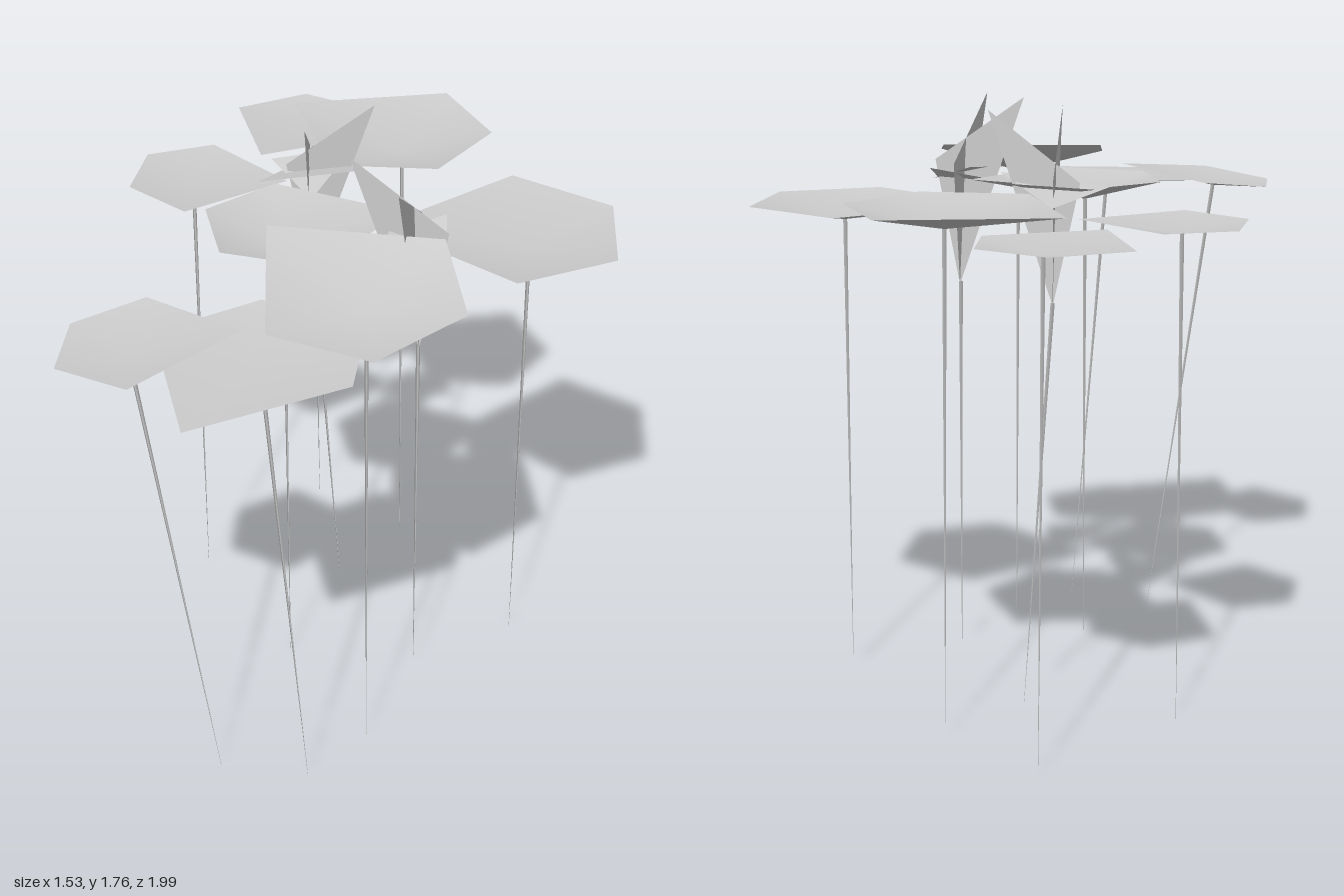
import * as THREE from 'three';

const grey = new THREE.MeshStandardMaterial({ color: 0xcccccc, side: THREE.DoubleSide });
grey.name = 'pale grey';

function surface(name, points, index) {
  const g = new THREE.BufferGeometry();
  g.setAttribute('position', new THREE.Float32BufferAttribute(points.flat(), 3));
  g.setIndex(index);
  g.computeVertexNormals();
  const mesh = new THREE.Mesh(g, grey);
  mesh.name = name;
  return mesh;
}

// Three-sided stalk narrowing to almost nothing at its foot
function stem(top, foot) {
  const a = new THREE.Vector3(...top), b = new THREE.Vector3(...foot);
  const dir = a.clone().sub(b);
  const mesh = new THREE.Mesh(new THREE.CylinderGeometry(0.007, 0.0004, dir.length(), 3, 1, true), grey);
  mesh.position.copy(a).add(b).multiplyScalar(0.5);
  mesh.quaternion.setFromUnitVectors(new THREE.Vector3(0, 1, 0), dir.normalize());
  mesh.name = 'stem';
  return mesh;
}

// Five-cornered shallow bowl on a stem; rim height follows a tilted plane
function lilyPad({ rim, hub, foot, y, tiltX = 0, tiltZ = 0 }) {
  const pad = new THREE.Group();
  pad.name = 'lilyPad';
  const points = rim.map(([x, z]) => [x, y + tiltX * (x - hub[0]) + tiltZ * (z - hub[2]), z]);
  points.push(hub);
  const index = [];
  for (let i = 0; i < 5; i++) index.push(5, (i + 1) % 5, i);
  pad.add(surface('leaf', points, index), stem(hub, foot));
  return pad;
}

// Crossed triangular petals on a stem
function flower({ petals, base, foot }) {
  const f = new THREE.Group();
  f.name = 'flower';
  for (const p of petals) f.add(surface('petal', p, [0, 1, 2]));
  f.add(stem(base, foot));
  return f;
}

const pads = [
  { rim: [[-0.155, -1], [0.04, -0.885], [0.04, -0.665], [-0.285, -0.535], [-0.37, -0.89]],
    hub: [-0.13, 1.43, -0.8], foot: [-0.12, 0, -0.8], y: 1.46 },
  { rim: [[-0.19, -0.78], [0.3, -0.855], [0.425, -0.555], [0.25, -0.3], [-0.06, -0.325]],
    hub: [0.15, 1.46, -0.56], foot: [0.16, 0, -0.56], y: 1.525 },
  { rim: [[-0.435, -0.61], [-0.2, -0.355], [-0.495, -0.153], [-0.67, -0.315], [-0.635, -0.54]],
    hub: [-0.485, 1.43, -0.39], foot: [-0.495, 0, -0.38], y: 1.46 },
  { rim: [[-0.23, -0.205], [0.135, -0.025], [-0.09, 0.305], [-0.37, 0.22], [-0.425, -0.04]],
    hub: [-0.2, 1.46, 0.06], foot: [-0.205, 0, 0.07], y: 1.525 },
  { rim: [[0.48, -0.39], [0.76, -0.185], [0.735, 0.15], [0.445, 0.28], [0.07, -0.06]],
    hub: [0.505, 1.405, -0.03], foot: [0.507, 0, -0.04], y: 1.46 },
  { rim: [[-0.25, 0.39], [0.03, 0.55], [-0.007, 0.815], [-0.425, 0.99], [-0.53, 0.535]],
    hub: [-0.245, 1.435, 0.665], foot: [-0.14, 0, 0.655], y: 1.463, tiltX: 0.035, tiltZ: -0.04 },
  { rim: [[-0.24, 0.21], [0.245, 0.275], [0.29, 0.6], [0.045, 0.785], [-0.23, 0.675]],
    hub: [0.03, 1.49, 0.48], foot: [0.035, 0, 0.48], y: 1.563, tiltZ: -0.15 },
  { rim: [[-0.56, 0.37], [-0.295, 0.6], [-0.57, 0.835], [-0.77, 0.695], [-0.755, 0.47]],
    hub: [-0.59, 1.435, 0.605], foot: [-0.4, 0, 0.61], y: 1.467, tiltX: 0.12 },
];

const flowers = [
  { base: [0.182, 1.19, 0.155], foot: [0.187, 0, 0.16], petals: [
    [[0.115, 1.75, 0.335], [0.185, 1.18, 0.155], [0.19, 1.56, 0.05]],
    [[-0.015, 1.755, 0.1], [0.185, 1.18, 0.155], [0.26, 1.56, 0.18]],
    [[0.035, 1.5, 0.115], [0.25, 1.48, 0.27], [0.26, 1.55, 0.04]],
    [[0.135, 1.56, -0.015], [0.06, 1.53, 0.265], [0.27, 1.5, 0.2]]] },
  { base: [-0.125, 1.21, -0.285], foot: [-0.045, 0, -0.285], petals: [
    [[-0.14, 1.75, -0.08], [-0.125, 1.2, -0.285], [-0.13, 1.57, -0.37]],
    [[0.06, 1.75, -0.255], [-0.2, 1.55, -0.28], [-0.125, 1.2, -0.285]],
    [[-0.245, 1.54, -0.34], [-0.125, 1.5, -0.15], [0, 1.56, -0.38]],
    [[-0.13, 1.5, -0.44], [-0.28, 1.53, -0.205], [0.03, 1.57, -0.2]]] },
];

export function createModel() {
  const group = new THREE.Group();
  group.name = 'lilyPads';
  pads.forEach((p) => group.add(lilyPad(p)));
  flowers.forEach((f) => group.add(flower(f)));
  return group;
}
